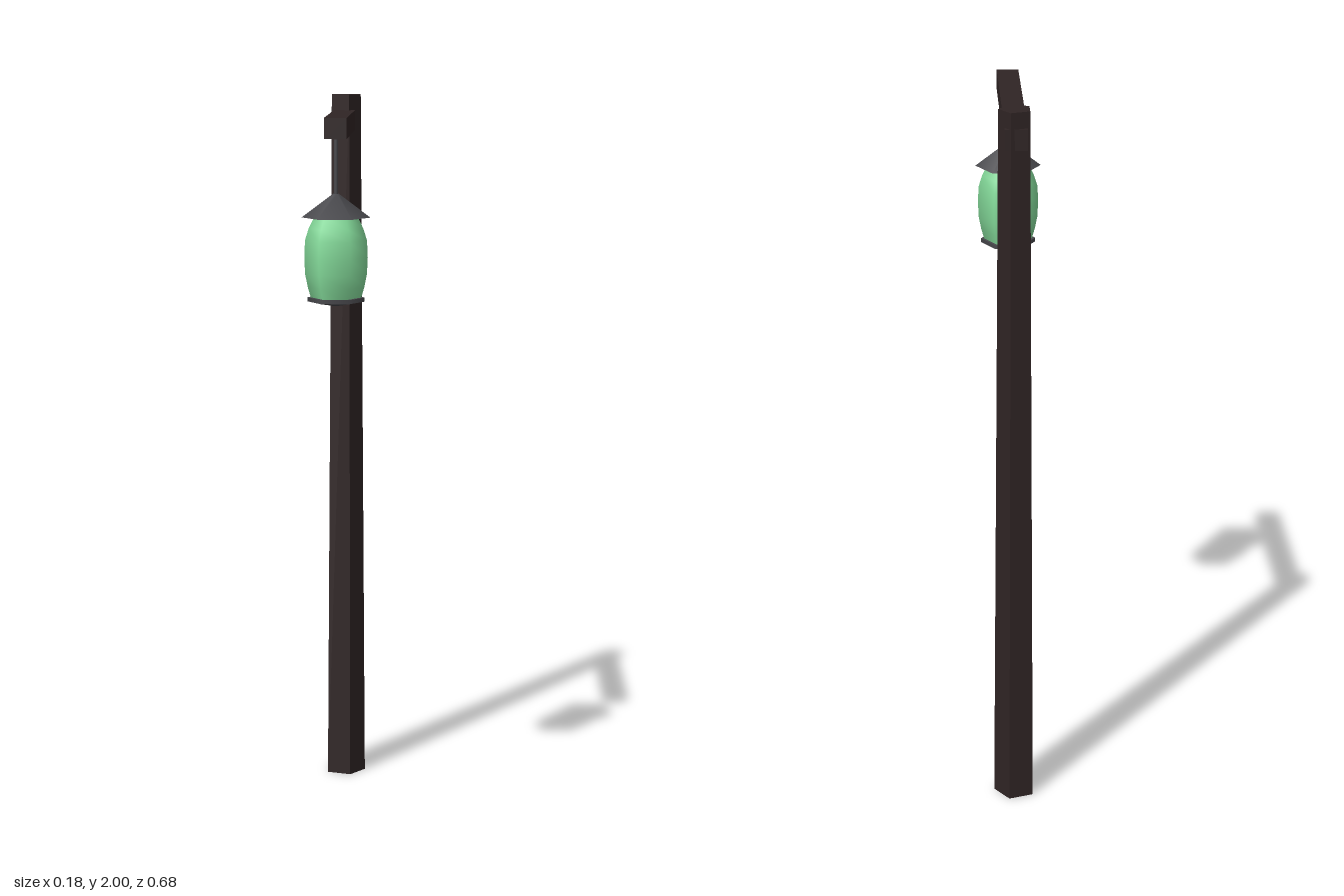
import * as THREE from 'three';

const wood = new THREE.MeshStandardMaterial({ name: 'dark wood', color: 0x2f2424, flatShading: true });
const metal = new THREE.MeshStandardMaterial({ name: 'grey metal', color: 0x48484c });
const glass = new THREE.MeshStandardMaterial({ name: 'green glass', color: 0x85dc9b });

const POST_Z = -0.28;
const LAMP_Z = 0.26;

function add(parent, name, geometry, material, x, y, z) {
  const mesh = new THREE.Mesh(geometry, material);
  mesh.name = name;
  mesh.position.set(x, y, z);
  parent.add(mesh);
  return mesh;
}

// six-sided turned shape with corners on the x axis; profile runs from bottom to top
function hexLathe(profile) {
  const points = profile.map(([r, y]) => new THREE.Vector2(r, y));
  return new THREE.LatheGeometry(points, 6).rotateY(Math.PI / 2);
}

export function createModel() {
  const model = new THREE.Group();
  model.name = 'lampPost';

  // tapered five-sided post
  const postShape = new THREE.CylinderGeometry(0.045, 0.06, 2, 5).rotateY(Math.PI / 2);
  add(model, 'post', postShape, wood, 0, 1, POST_Z);

  // arm passing through the post, its back corners just showing
  const armFront = 0.297, armBack = -0.32;
  add(model, 'arm', new THREE.BoxGeometry(0.06, 0.056, armFront - armBack), wood,
    0, 1.928, (armFront + armBack) / 2);

  // hanging lantern
  const lantern = new THREE.Group();
  lantern.name = 'lantern';
  lantern.position.z = LAMP_Z;
  model.add(lantern);

  add(lantern, 'hanger', new THREE.CylinderGeometry(0.006, 0.006, 0.16, 6), metal, 0, 1.825, 0);

  const roofShape = new THREE.CylinderGeometry(0.008, 0.092, 0.063, 6).rotateY(Math.PI / 2);
  add(lantern, 'roof', roofShape, metal, 0, 1.7225, 0);

  add(lantern, 'glass', hexLathe([
    [0.066, 1.47], [0.076, 1.505], [0.083, 1.54], [0.085, 1.585],
    [0.083, 1.63], [0.073, 1.662], [0.057, 1.695],
  ]), glass, 0, 0, 0);

  // shallow base: pointed underside, thin rim and flat top
  add(lantern, 'baseUnderside', hexLathe([[0, 1.453], [0.077, 1.466]]), metal, 0, 0, 0);
  add(lantern, 'baseRim', hexLathe([[0.077, 1.466], [0.077, 1.477]]), metal, 0, 0, 0);
  add(lantern, 'baseTop', hexLathe([[0.077, 1.477], [0, 1.477]]), metal, 0, 0, 0);

  return model;
}
